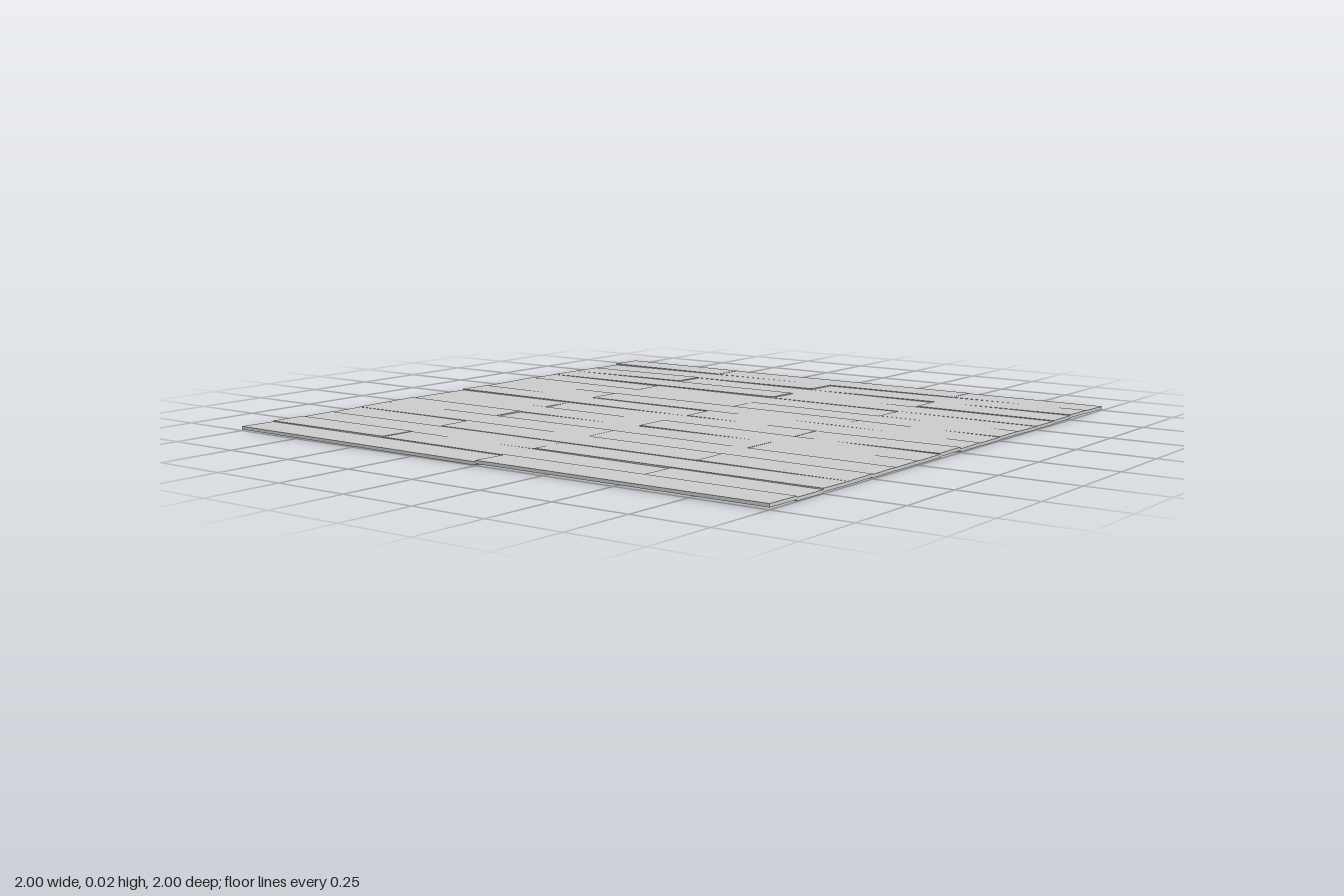
import * as THREE from 'three';

const COLUMNS = 16, WIDTH = 2 / COLUMNS, THICKNESS = 0.01, MID = 0.0135;

// small seeded generator, returns -1..1
function seeded(seed) {
  return () => {
    seed = (seed * 16807) % 2147483647;
    return (seed / 2147483647) * 2 - 1;
  };
}

export function createModel() {
  const floor = new THREE.Group();
  floor.name = 'plankFloor';
  const material = new THREE.MeshStandardMaterial({ color: 0xcccccc, flatShading: true });
  const rand = seeded(4271);

  // one board, sitting slightly uneven: lifted, pitched along z and rolled across x
  function addPlank(column, z0, z1) {
    const length = z1 - z0;
    const plank = new THREE.Mesh(new THREE.BoxGeometry(WIDTH, THICKNESS, length), material);
    plank.name = 'plank';
    plank.position.set(-1 + (column + 0.5) * WIDTH, MID + rand() * 0.002, (z0 + z1) / 2);
    plank.rotation.set(rand() * 0.0045 / length, 0, rand() * 0.014);
    floor.add(plank);
  }

  // staggered columns: even ones meet at the middle, odd ones at the quarters
  for (let c = 0; c < COLUMNS; c++) {
    const joints = c % 2 ? [-1, -0.5, 0.5, 1] : [-1, 0, 1];
    for (let j = 0; j + 1 < joints.length; j++) addPlank(c, joints[j], joints[j + 1]);
  }

  // rest the lowest corner on the ground
  const lowest = new THREE.Box3().setFromObject(floor, true).min.y;
  floor.children.forEach((plank) => { plank.position.y -= lowest; });
  return floor;
}
